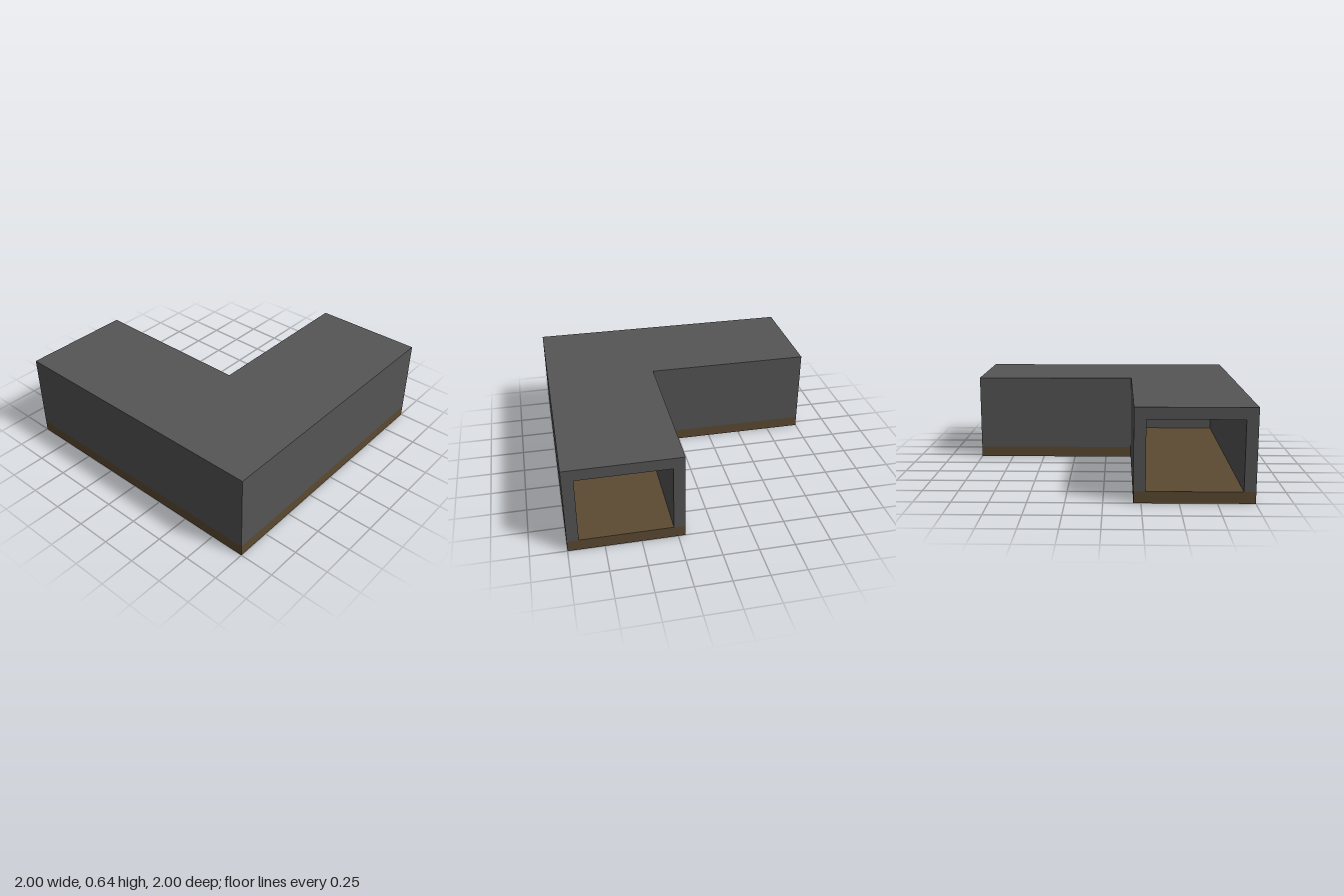
import * as THREE from 'three';

const HEIGHT = 0.64, T = 0.08;

// Extrudes a plan outline of [x, z] points between two heights
function slab(name, points, bottom, top, material) {
  const shape = new THREE.Shape(points.map(([x, z]) => new THREE.Vector2(x, z)));
  const geometry = new THREE.ExtrudeGeometry(shape, { depth: top - bottom, bevelEnabled: false });
  geometry.rotateX(Math.PI / 2);
  geometry.translate(0, top, 0);
  const mesh = new THREE.Mesh(geometry, material);
  mesh.name = name;
  return mesh;
}

// L-shaped band lying between two corner offsets a < b, open at x = -1 and z = -1
const band = (a, b) => [[-1, b], [b, b], [b, -1], [a, -1], [a, a], [-1, a]];

export function createModel() {
  const grey = new THREE.MeshStandardMaterial({ color: 0x555555 });
  grey.name = 'wall grey';
  const brown = new THREE.MeshStandardMaterial({ color: 0x5c4a32 });
  brown.name = 'floor brown';

  const group = new THREE.Group();
  group.name = 'cornerCorridor';
  group.add(
    slab('floor', band(0.2, 1), 0, T, brown),
    slab('outerWall', band(1 - T, 1), T, HEIGHT - T, grey),
    slab('innerWall', band(0.2, 0.2 + T), T, HEIGHT - T, grey),
    slab('ceiling', band(0.2, 1), HEIGHT - T, HEIGHT, grey),
  );
  return group;
}
